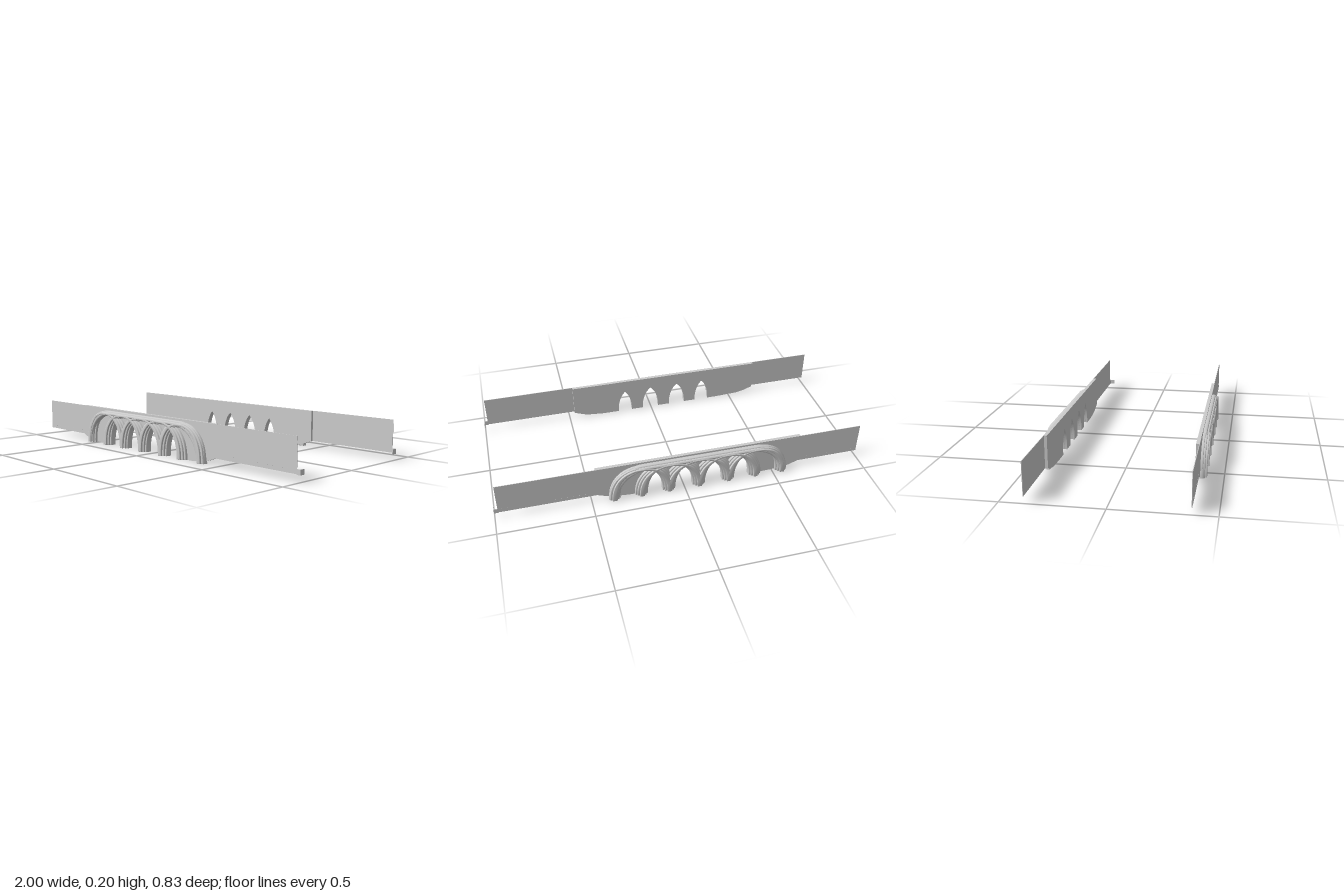
import * as THREE from 'three';
import { toCreasedNormals } from 'three/addons/utils/BufferGeometryUtils.js';

const material = new THREE.MeshStandardMaterial({ color: 0xcccccc, side: THREE.DoubleSide });

// Pier centres; every arch spans two bays so that neighbours interlace
const PIERS = [-0.55, -0.397, -0.245, -0.08, 0.085, 0.235, 0.382];
const RISE = 0.178;
const POWER = 2.3;
const FLARE = 0.4; // band thickness at the crown relative to the springing
const PLATE_BACK = 0.365, PLATE_FRONT = 0.383;

const v2 = (x, y) => new THREE.Vector2(x, y);

// Points of a rounded arch, left to right
function archPoints(x0, x1, rise, n = 36) {
  const c = (x0 + x1) / 2, a = (x1 - x0) / 2, pts = [];
  for (let i = 0; i <= n; i++) {
    const t = Math.PI * (1 - i / n), k = 2 / POWER;
    const cx = Math.cos(t), sy = Math.max(0, Math.sin(t));
    pts.push(v2(c + a * Math.sign(cx) * Math.abs(cx) ** k, i % n ? rise * sy ** k : 0));
  }
  return pts;
}

// Long frame outline: quarter curves joined by a flat top
function framePoints(x0, x1, top, r, n = 14) {
  const pts = [];
  for (let i = 0; i <= n; i++) {
    const t = (i / n) * Math.PI / 2;
    pts.push(v2(x0 + r * (1 - Math.cos(t)), top * Math.sin(t)));
  }
  return [...pts, ...pts.map(p => v2(x0 + x1 - p.x, p.y)).reverse()];
}

// Extrude a shape between two depths, with an optional inset bevel
function slab(points, z0, z1, bevel = 0) {
  const geo = new THREE.ExtrudeGeometry(new THREE.Shape(points), {
    depth: z1 - z0 - 2 * bevel, bevelEnabled: bevel > 0, bevelSize: bevel,
    bevelThickness: bevel, bevelOffset: -bevel, bevelSegments: 3,
  });
  return geo.translate(0, 0, z0 + bevel);
}

const band = (outer, inner, z1, bevel) => slab([...outer, ...inner.reverse()], 0.375, z1, bevel);

function box(x0, x1, y0, y1, z0, z1) {
  return new THREE.BoxGeometry(x1 - x0, y1 - y0, z1 - z0)
    .translate((x0 + x1) / 2, (y0 + y1) / 2, (z0 + z1) / 2);
}

// Pointed doorway left open where two neighbouring arches overlap
function doorPoints(i, w = 0.034) {
  const inner = (j, x) => {
    const c = (PIERS[j] + PIERS[j + 2]) / 2, a = (PIERS[j + 2] - PIERS[j]) / 2 - w;
    const u = Math.min(1, Math.abs(x - c) / a);
    return (RISE - w * FLARE) * (1 - u ** POWER) ** (1 / POWER);
  };
  const x0 = PIERS[i + 1] + w, x1 = PIERS[i + 2] - w, pts = [];
  for (let k = 0; k <= 32; k++) {
    const x = (x0 + x1) / 2 - (x1 - x0) / 2 * Math.cos(Math.PI * k / 32);
    pts.push(v2(x, k % 32 ? Math.min(inner(i, x), inner(i + 1, x)) : 0));
  }
  return pts;
}

// All parts of the front (+z) side
function sideParts() {
  const parts = [];
  const add = (name, geo) => parts.push([name, geo]);

  // Thick backing plate with four open doorways
  const outline = [v2(-0.65, 0.205), v2(-0.65, 0.035), v2(-0.6, 0.016), v2(-0.55, 0.006), v2(-0.42, 0)];
  for (let i = 0; i < 4; i++) outline.push(...doorPoints(i));
  outline.push(v2(0.3, 0), v2(0.39, 0.008), v2(0.43, 0.02), v2(0.47, 0.035), v2(0.47, 0.205));
  add('backingPlate', slab(outline, PLATE_BACK, PLATE_FRONT));

  // Thin side sheets and the folded end tab
  add('rearSheet', box(-1, -0.64, 0.035, 0.205, 0.38, 0.383));
  add('frontSheet', box(0.46, 0.98, 0.035, 0.205, 0.38, 0.383));
  add('endTab', box(0.978, 1, 0.032, 0.058, 0.38, 0.383));
  add('endFlange', box(0.997, 1, 0.032, 0.058, 0.353, 0.383));

  // Broad rounded frame around the arcade, in two steps
  add('outerFrame', band(framePoints(-0.58, 0.41, 0.195, 0.19),
    framePoints(-0.545, 0.375, 0.175, 0.17), 0.403, 0.008));
  add('innerFrame', band(framePoints(-0.562, 0.392, 0.188, 0.18),
    framePoints(-0.535, 0.365, 0.17, 0.165), 0.414, 0.007));

  // Interlaced arches, each a stepped moulding of three bands
  const steps = [[0.034, 0.396, 0.003], [0.024, 0.406, 0.003], [0.012, 0.416, 0.002]];
  for (let i = 0; i < 5; i++) {
    const x0 = PIERS[i], x1 = PIERS[i + 2];
    steps.forEach(([w, z, bevel], s) => {
      const h = w * FLARE;
      add(`arch${i + 1}Moulding${s + 1}`, band(
        archPoints(x0 - (i ? w : Math.min(w, 0.028)), x1 + (i < 4 ? w : Math.min(w, 0.026)), RISE + h),
        archPoints(x0 + w, x1 - w, RISE - h), z + (i % 2) * 0.0006, bevel));
    });
  }

  // Row of small rivets along the lower edge of the sheets
  const rivetRow = (name, from, to) => {
    const count = Math.round((to - from) / 0.03);
    for (let i = 0; i <= count; i++) {
      const x = from + (to - from) * i / count;
      add(name, new THREE.CylinderGeometry(0.0018, 0.0018, 0.002, 6)
        .rotateX(Math.PI / 2).translate(x, 0.055, 0.3835));
    }
  };
  rivetRow('rearRivet', -0.97, -0.67);
  rivetRow('frontRivet', 0.5, 0.96);
  return parts;
}

// Mirror a triangle soup in z and restore its winding
function mirrorZ(geo) {
  const g = geo.clone().scale(1, 1, -1);
  const p = g.attributes.position;
  const a = new THREE.Vector3(), b = new THREE.Vector3();
  for (let i = 0; i < p.count; i += 3) {
    a.fromBufferAttribute(p, i + 1);
    b.fromBufferAttribute(p, i + 2);
    p.setXYZ(i + 1, b.x, b.y, b.z);
    p.setXYZ(i + 2, a.x, a.y, a.z);
  }
  return g;
}

export function createModel() {
  const model = new THREE.Group();
  model.name = 'arcadePanels';
  const near = new THREE.Group(), far = new THREE.Group();
  near.name = 'frontPanel';
  far.name = 'backPanel';
  for (const [name, geo] of sideParts()) {
    const soup = geo.index ? geo.toNonIndexed() : geo;
    [[near, soup], [far, mirrorZ(soup)]].forEach(([group, g]) => {
      const mesh = new THREE.Mesh(toCreasedNormals(g, 0.6), material);
      mesh.name = name;
      group.add(mesh);
    });
  }
  model.add(near, far);
  return model;
}
